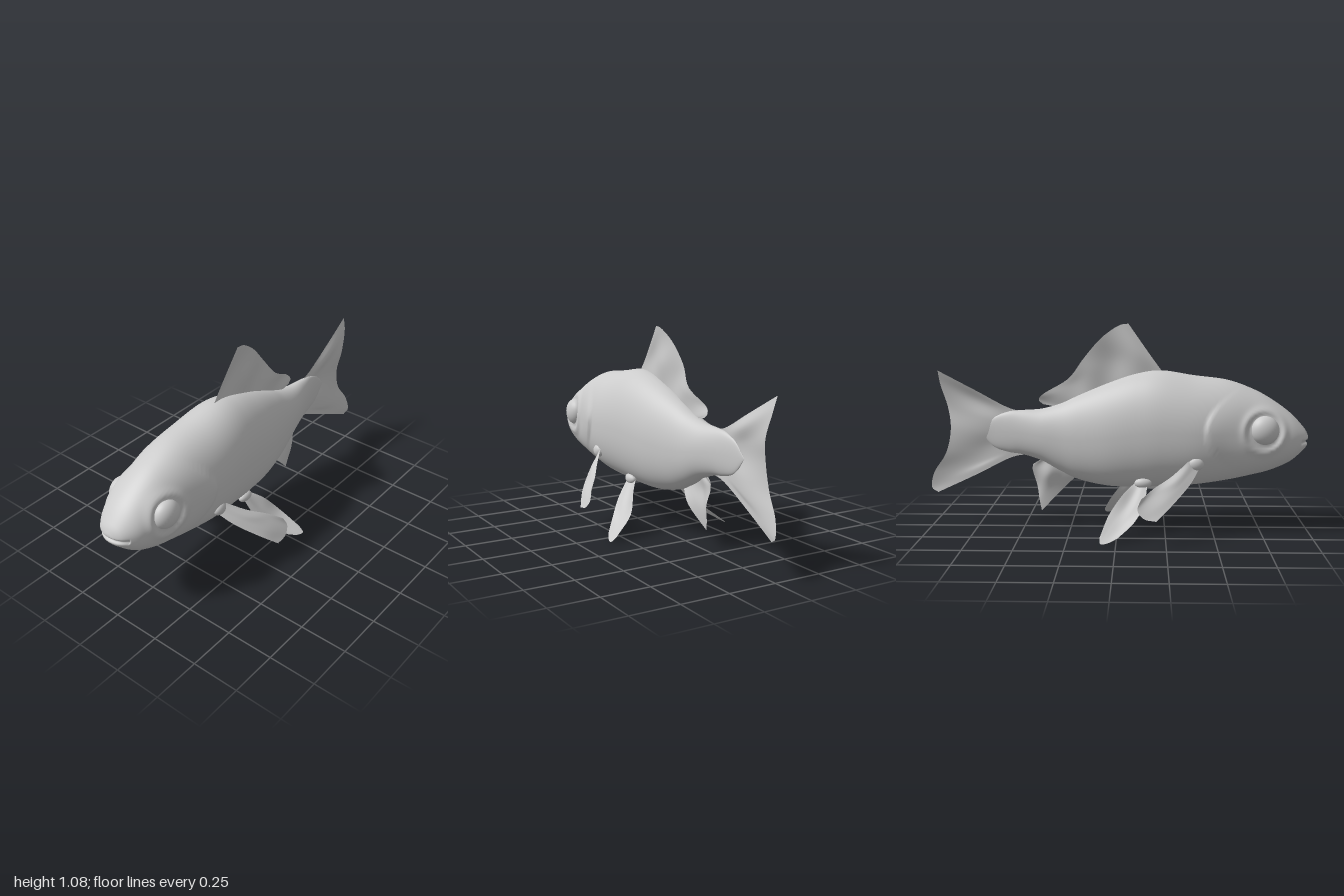
import * as THREE from 'three';

const grey = new THREE.MeshStandardMaterial({ color: 0xcccccc });
const thin = new THREE.MeshStandardMaterial({ color: 0xcccccc, side: THREE.DoubleSide });
const V = (p) => new THREE.Vector3(...p);
const spline = (pts) => new THREE.CatmullRomCurve3(pts, false, 'catmullrom', 0.5);
const bell = (d, w) => Math.exp(-(d / w) * (d / w));

function add(parent, name, geometry, material = grey) {
  const mesh = new THREE.Mesh(geometry, material);
  mesh.name = name;
  parent.add(mesh);
  return mesh;
}

// Smooth surface from a grid of points; wrap joins the last column to the first
function gridGeometry(rows, cols, wrap, point) {
  const pos = [], index = [];
  for (let i = 0; i <= rows; i++)
    for (let j = 0; j < cols; j++) pos.push(...point(i, j));
  for (let i = 0; i < rows; i++)
    for (let j = 0; j < (wrap ? cols : cols - 1); j++) {
      const k = (j + 1) % cols;
      const a = i * cols + j, b = i * cols + k, c = a + cols, d = b + cols;
      index.push(a, b, c, b, d, c);
    }
  const g = new THREE.BufferGeometry();
  g.setAttribute('position', new THREE.Float32BufferAttribute(pos, 3));
  g.setIndex(index);
  g.computeVertexNormals();
  return g;
}

// Fin surface spread across a fan of rays, each running from root to edge
function finGeometry(rays, side = 1, n = 24, m = 40) {
  const curves = rays.map((r) => spline(r.map(V)));
  const rows = [];
  for (let i = 0; i <= n; i++)
    rows.push(spline(curves.map((c) => c.getPoint(i / n))).getPoints(m));
  return gridGeometry(n, m + 1, false, (i, j) => {
    const p = rows[i][j];
    return [p.x, p.y, p.z * side];
  });
}

// Body stations: x, top, bottom, half width
const STATIONS = [
  [-1.0, 0.487, 0.487, 0], [-0.995, 0.515, 0.46, 0.035], [-0.97, 0.555, 0.43, 0.08],
  [-0.9, 0.628, 0.37, 0.13], [-0.8, 0.7, 0.325, 0.158], [-0.7, 0.753, 0.298, 0.17],
  [-0.57, 0.798, 0.27, 0.185], [-0.4, 0.82, 0.245, 0.2], [-0.23, 0.845, 0.235, 0.195],
  [-0.1, 0.828, 0.229, 0.182], [0.05, 0.778, 0.234, 0.16], [0.2, 0.715, 0.265, 0.125],
  [0.3, 0.67, 0.31, 0.1], [0.4, 0.642, 0.365, 0.078], [0.5, 0.634, 0.397, 0.052],
  [0.58, 0.625, 0.41, 0.032], [0.66, 0.59, 0.44, 0.013], [0.73, 0.52, 0.52, 0],
];

function bodyGeometry() {
  const heights = spline(STATIONS.map(([x, t, b]) => V([x, t, b])));
  const widths = spline(STATIONS.map(([x, , , w]) => V([x, w, 0])));
  const rows = 240, cols = 80;
  return gridGeometry(rows, cols, true, (i, j) => {
    const h = heights.getPoint(i / rows), w = widths.getPoint(i / rows).y;
    const a = (j / cols) * Math.PI * 2, c = Math.cos(a), s = Math.sin(a);
    const mid = (h.y + h.z) / 2, half = (h.y - h.z) / 2;
    // slightly squarer belly than back
    const e = c < 0 ? 0.86 : 1;
    const y = mid + half * Math.sign(c) * Math.pow(Math.abs(c), e);
    let x = h.x, z = w * Math.sign(s) * Math.pow(Math.abs(s), e);
    // gill cover: swells towards its rear edge, then drops
    const edge = -0.46 - 4 * (y - 0.55) ** 2;
    const ramp = x < edge ? THREE.MathUtils.smoothstep(x, edge - 0.2, edge) : Math.max(0, 1 - (x - edge) / 0.015);
    // raised rim around the eye
    const r = Math.hypot(x + 0.752, y - 0.545);
    const bump = 0.014 * ramp * bell(y - 0.55, 0.12) + 0.009 * bell(r - 0.105, 0.02) - 0.006 * bell(r - 0.08, 0.015);
    z += Math.sign(s) * bump * Math.min(1, Math.abs(s) * 2);
    // mouth crease
    if (x < -0.955) x += 0.015 * bell(y - 0.478, 0.01);
    return [x, y, z];
  });
}

const DORSAL = [
  [[-0.24, 0.83, 0], [-0.17, 0.925, 0], [-0.055, 1.088, 0.008]],
  [[-0.14, 0.81, 0], [-0.09, 0.93, -0.008], [0, 1.075, 0.006]],
  [[-0.02, 0.785, 0], [0.02, 0.9, 0.012], [0.09, 1.01, -0.006]],
  [[0.09, 0.74, 0], [0.13, 0.84, -0.01], [0.18, 0.905, -0.012]],
  [[0.18, 0.7, 0], [0.22, 0.77, 0.008], [0.26, 0.8, 0.006]],
  [[0.26, 0.67, 0], [0.32, 0.715, -0.006], [0.385, 0.725, -0.012]],
  [[0.29, 0.655, 0], [0.36, 0.672, 0], [0.415, 0.69, -0.004]],
  [[0.3, 0.645, 0], [0.34, 0.655, 0], [0.395, 0.665, 0]],
];
const TAIL = [
  [[0.46, 0.628, 0], [0.57, 0.643, 0], [0.75, 0.738, -0.006], [0.945, 0.843, -0.018]],
  [[0.46, 0.6, 0], [0.58, 0.615, 0], [0.75, 0.68, 0.012], [0.935, 0.765, 0]],
  [[0.46, 0.56, 0], [0.58, 0.565, 0], [0.73, 0.6, -0.006], [0.9, 0.645, 0.01]],
  [[0.46, 0.515, 0], [0.58, 0.515, 0], [0.72, 0.52, -0.01], [0.885, 0.53, -0.006]],
  [[0.46, 0.475, 0], [0.58, 0.465, 0], [0.73, 0.43, 0.004], [0.912, 0.405, -0.008]],
  [[0.46, 0.435, 0], [0.58, 0.42, 0], [0.76, 0.35, 0.008], [0.98, 0.3, 0.008]],
  [[0.46, 0.42, 0], [0.58, 0.395, 0], [0.77, 0.31, 0.002], [1.0, 0.215, 0.02]],
  [[0.46, 0.4, 0], [0.57, 0.378, 0], [0.75, 0.288, 0], [0.965, 0.186, 0.014]],
];
const ANAL = [
  [[0.2, 0.3, 0], [0.29, 0.21, 0.026], [0.405, 0.095, -0.01]],
  [[0.26, 0.32, 0], [0.33, 0.24, 0.012], [0.417, 0.15, -0.004]],
  [[0.32, 0.35, 0], [0.37, 0.29, -0.008], [0.43, 0.23, 0.008]],
  [[0.35, 0.38, 0], [0.4, 0.345, 0.004], [0.452, 0.31, 0]],
  [[0.36, 0.395, 0], [0.4, 0.375, 0], [0.45, 0.345, 0]],
];
const PECTORAL = [
  [[-0.385, 0.41, 0.17], [-0.28, 0.33, 0.25], [-0.19, 0.28, 0.31], [-0.125, 0.235, 0.365]],
  [[-0.395, 0.395, 0.17], [-0.3, 0.31, 0.27], [-0.2, 0.25, 0.325], [-0.108, 0.185, 0.38]],
  [[-0.41, 0.375, 0.17], [-0.33, 0.295, 0.265], [-0.24, 0.22, 0.34], [-0.14, 0.143, 0.392]],
  [[-0.425, 0.36, 0.17], [-0.37, 0.285, 0.25], [-0.28, 0.2, 0.34], [-0.2, 0.13, 0.392]],
];
const PELVIC = [
  [[-0.1, 0.275, 0.11], [-0.03, 0.215, 0.165], [0.04, 0.12, 0.22], [0.082, 0.03, 0.325]],
  [[-0.12, 0.275, 0.115], [-0.06, 0.18, 0.175], [0.01, 0.09, 0.24], [0.077, 0.006, 0.355]],
  [[-0.14, 0.275, 0.12], [-0.1, 0.17, 0.19], [-0.03, 0.075, 0.255], [0.04, 0.008, 0.35]],
  [[-0.16, 0.275, 0.12], [-0.14, 0.17, 0.195], [-0.09, 0.09, 0.255], [-0.01, 0.028, 0.325]],
];

export function createModel() {
  const fish = new THREE.Group();
  fish.name = 'fish';
  fish.position.z = -0.015;

  add(fish, 'body', bodyGeometry());

  // Fins on the centre line
  add(fish, 'dorsalFin', finGeometry(DORSAL), thin);
  add(fish, 'tailFin', finGeometry(TAIL), thin);
  add(fish, 'analFin', finGeometry(ANAL), thin);

  // Paired fins, their fleshy roots and the eyes
  for (const side of [1, -1]) {
    const label = side > 0 ? 'Front' : 'Back';
    add(fish, 'pectoralFin' + label, finGeometry(PECTORAL, side), thin);
    add(fish, 'pelvicFin' + label, finGeometry(PELVIC, side), thin);

    const ball = new THREE.SphereGeometry(1, 24, 16);
    const shoulder = add(fish, 'pectoralRoot' + label, ball);
    shoulder.scale.set(0.04, 0.035, 0.025);
    shoulder.position.set(-0.405, 0.38, 0.175 * side);
    const hip = add(fish, 'pelvicRoot' + label, ball);
    hip.scale.set(0.045, 0.028, 0.025);
    hip.position.set(-0.135, 0.268, 0.12 * side);

    const eye = add(fish, 'eye' + label, new THREE.SphereGeometry(0.075, 32, 24));
    eye.scale.z = 0.7;
    eye.rotation.y = -0.12 * side;
    eye.position.set(-0.755, 0.55, 0.145 * side);
  }

  const model = new THREE.Group();
  model.add(fish);
  return model;
}
